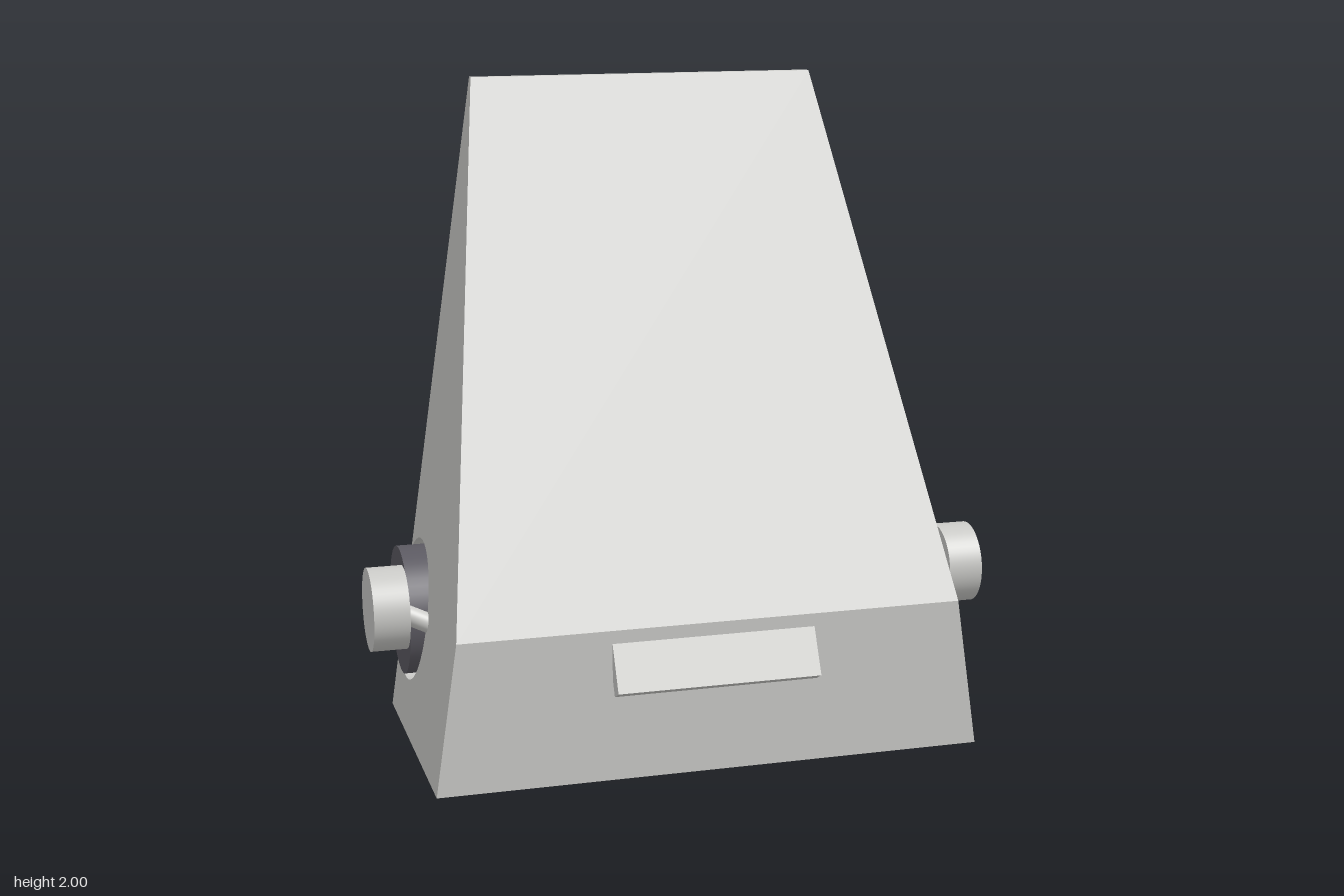
import * as THREE from 'three';
import { mergeGeometries } from 'three/addons/utils/BufferGeometryUtils.js';

const shellMat = new THREE.MeshStandardMaterial({ name: 'light grey', color: 0xcbcbc8 });
const tyreMat = new THREE.MeshStandardMaterial({ name: 'dark grey', color: 0x5c5a62 });

const V = (x, y, z) => new THREE.Vector3(x, y, z);
const FRONT = 0.4, BACK = -0.43, TOP = 2, INNER = 0.68;
const WHEEL = { y: 0.365, z: -0.268 }, WELL_R = 0.22;
const halfWidth = (y) => 0.836 - 0.1455 * y;

// Flat polygon with optional holes; at() lifts 2D points to 3D, out is the facing direction
function face(outline, at, out, holes = []) {
  const tris = THREE.ShapeUtils.triangulateShape(outline, holes);
  const all = [...outline, ...holes.flat()].map(at);
  const pos = [];
  for (const [a, b, c] of tris) {
    const p = all[a], q = all[b], r = all[c];
    const n = q.clone().sub(p).cross(r.clone().sub(p));
    for (const v of n.dot(out) < 0 ? [p, r, q] : [p, q, r]) pos.push(v.x, v.y, v.z);
  }
  const g = new THREE.BufferGeometry();
  g.setAttribute('position', new THREE.Float32BufferAttribute(pos, 3));
  g.computeVertexNormals();
  return g;
}

const P = (a, b) => new THREE.Vector2(a, b);
const UNIT = [P(0, 0), P(1, 0), P(1, 1), P(0, 1)];
function quad(corners, out) {
  return face(UNIT, (p) => corners[UNIT.indexOf(p)], out);
}

// Symmetric strip between two (y, z) edges of the tapered shell
function strip(y0, z0, y1, z1, out) {
  const a = halfWidth(y0), b = halfWidth(y1);
  return quad([V(-a, y0, z0), V(a, y0, z0), V(b, y1, z1), V(-b, y1, z1)], out);
}

function shellGeometry() {
  const parts = [
    strip(0, FRONT, 0.46, FRONT, V(0, 0, 1)),
    strip(0.46, FRONT, TOP, -0.405, V(0, 1, 1)),
    strip(TOP, -0.405, TOP, BACK, V(0, 1, 0)),
    strip(0, FRONT, 0, BACK, V(0, -1, 0)),
  ];

  // wheel well arc, open through the back panel
  const end = Math.acos((BACK - WHEEL.z) / WELL_R);
  const arc = [];
  for (let i = 0; i <= 40; i++) {
    const t = end * (1 - i / 20);
    arc.push(P(WHEEL.z + WELL_R * Math.cos(t), WHEEL.y + WELL_R * Math.sin(t)));
  }
  const hi = arc[0].y, lo = arc[40].y;

  // side panels, well caps and well walls
  const profile = [P(FRONT, 0), P(FRONT, 0.46), P(-0.405, TOP), P(BACK, TOP), ...arc, P(BACK, 0)];
  for (const s of [1, -1]) {
    const outer = (p) => V(s * halfWidth(p.y), p.y, p.x);
    const inner = (p) => V(s * INNER, p.y, p.x);
    parts.push(face(profile, outer, V(s, 0, 0)), face(arc, inner, V(s, 0, 0)));
    for (let i = 0; i < 40; i++) {
      const p = arc[i], q = arc[i + 1];
      const toAxle = V(0, WHEEL.y - (p.y + q.y) / 2, WHEEL.z - (p.x + q.x) / 2);
      parts.push(quad([outer(p), outer(q), inner(q), inner(p)], toAxle));
    }
  }

  // back panel with wheel notches and a small slot
  const right = [P(halfWidth(0), 0), P(halfWidth(lo), lo), P(INNER, lo),
    P(INNER, hi), P(halfWidth(hi), hi), P(halfWidth(TOP), TOP)];
  const left = right.map((p) => P(-p.x, p.y)).reverse();
  const slot = [P(-0.068, 0.672), P(-0.068, 0.728), P(0.068, 0.728), P(0.068, 0.672)];
  const onBack = (d) => (p) => V(p.x, p.y, BACK + d);
  parts.push(face([...right, ...left], onBack(0), V(0, 0, -1), [slot]));
  parts.push(face(slot, onBack(0.05), V(0, 0, -1)));
  slot.forEach((p, i) => {
    const q = slot[(i + 1) % 4];
    const toMid = V(-(p.x + q.x) / 2, 0.7 - (p.y + q.y) / 2, 0);
    parts.push(quad([onBack(0)(p), onBack(0)(q), onBack(0.05)(q), onBack(0.05)(p)], toMid));
  });
  return mergeGeometries(parts);
}

function add(group, name, geometry, material) {
  const mesh = new THREE.Mesh(geometry, material);
  mesh.name = name;
  group.add(mesh);
  return mesh;
}

// Cylinder running between two points
function rod(group, name, a, b, radius, material) {
  const m = add(group, name, new THREE.CylinderGeometry(radius, radius, a.distanceTo(b), 48), material);
  m.position.copy(a).add(b).multiplyScalar(0.5);
  m.quaternion.setFromUnitVectors(V(0, 1, 0), b.clone().sub(a).normalize());
  return m;
}

export function createModel() {
  const model = new THREE.Group();
  model.name = 'wedgeCabinet';
  add(model, 'shell', shellGeometry(), shellMat);

  // tilted front handle, sunk into the front panel
  const handle = add(model, 'frontHandle', new THREE.BoxGeometry(0.62, 0.2, 0.05), shellMat);
  handle.position.set(0, 0.366, 0.4);
  handle.rotation.x = -0.48;

  // wheels and side knobs
  for (const s of [1, -1]) {
    const side = s > 0 ? 'left' : 'right';
    const wheel = new THREE.Group();
    wheel.name = side + 'Wheel';
    const disc = (name, x0, x1, r, mat) =>
      rod(wheel, name, V(s * x0, WHEEL.y, WHEEL.z), V(s * x1, WHEEL.y, WHEEL.z), r, mat);
    disc('tyre', 0.683, 0.827, 0.2, tyreMat);
    disc('hub', 0.75, 0.837, 0.103, shellMat);
    disc('axle', 0.75, 0.854, 0.027, tyreMat);
    model.add(wheel);
    rod(model, side + 'Knob', V(s * 0.855, 0.458, 0), V(s * 0.963, 0.458, 0), 0.126, shellMat);
  }

  // short arms joining the knobs to the shell
  rod(model, 'leftKnobArm', V(0.78, 0.385, -0.04), V(0.87, 0.435, -0.13), 0.032, shellMat);
  rod(model, 'rightKnobArm', V(-0.77, 0.382, -0.05), V(-0.87, 0.428, -0.065), 0.03, shellMat);
  return model;
}
